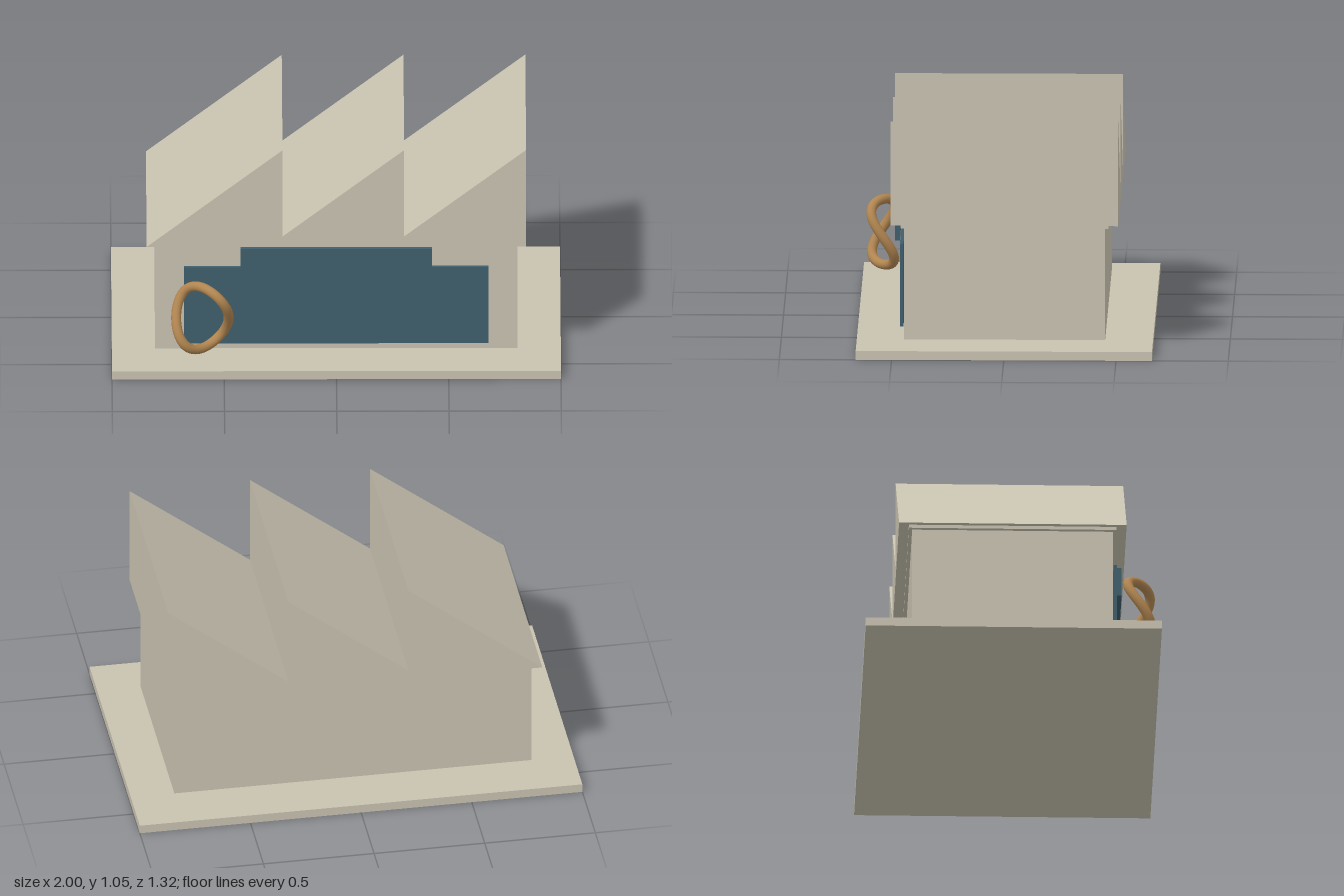
import * as THREE from 'three';

// Closed saddle-shaped loop: an ellipse from the front, a figure eight from side and top
class SaddleLoop extends THREE.Curve {
  getPoint(t, target = new THREE.Vector3()) {
    const a = t * Math.PI * 2;
    return target.set(0.117 * Math.cos(a), 0.148 * Math.sin(a), 0.051 * Math.sin(2 * a));
  }
}

export function createModel() {
  const group = new THREE.Group();
  const stone = new THREE.MeshStandardMaterial({ name: 'paleStone', color: 0xc8c2b0 });
  const blue = new THREE.MeshStandardMaterial({ name: 'slateBlue', color: 0x3f5e6d });
  const bronze = new THREE.MeshStandardMaterial({ name: 'bronze', color: 0xb08550 });

  const add = (name, geometry, material) => {
    const mesh = new THREE.Mesh(geometry, material);
    mesh.name = name;
    group.add(mesh);
    return mesh;
  };

  // Box centred on x, given by its bottom, top, back and front
  const box = (name, width, y0, y1, z0, z1, material) =>
    add(name, new THREE.BoxGeometry(width, y1 - y0, z1 - z0), material)
      .position.set(0, (y0 + y1) / 2, (z0 + z1) / 2);

  box('basePlate', 2, 0, 0.04, -0.66, 0.66, stone);
  box('hall', 1.615, 0.055, 0.563, -0.448, 0.448, stone);
  box('eavesLedge', 1.655, 0.563, 0.578, -0.463, 0.463, stone);
  box('frontPanel', 1.355, 0.088, 0.461, 0.453, 0.469, blue);
  box('signBoard', 0.853, 0.428, 0.563, 0.474, 0.495, blue);

  // Sawtooth roof: three slopes, each ending in an upright face
  const eaves = 0.58, valley = 0.63, ridge = 1.053;
  const profile = new THREE.Shape();
  profile.moveTo(-0.845, eaves);
  const ridges = [-0.24, 0.302, 0.845];
  ridges.forEach((x, i) => {
    profile.lineTo(x, ridge);
    profile.lineTo(x, i < 2 ? valley : eaves);
  });
  profile.closePath();
  const roof = new THREE.ExtrudeGeometry(profile, { depth: 1.014, bevelEnabled: false });
  roof.translate(0, 0, -0.507);
  add('sawtoothRoof', roof, stone);

  // Twisted ring standing off the front panel
  const ring = new THREE.TubeGeometry(new SaddleLoop(), 128, 0.022, 16, true);
  add('twistedRing', ring, bronze).position.set(-0.597, 0.26, 0.568);

  return group;
}
